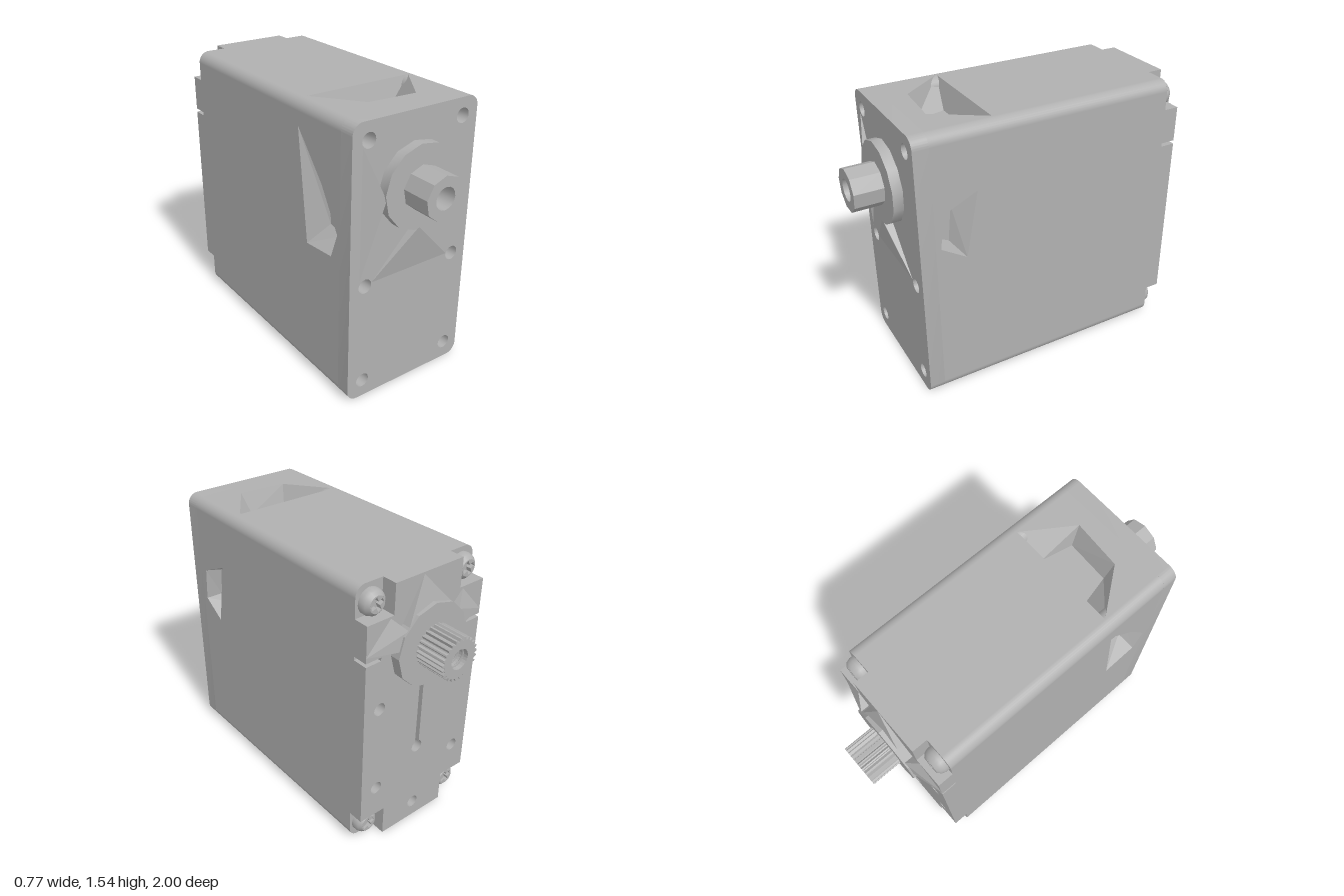
import * as THREE from 'three';
import { toCreasedNormals } from 'three/addons/utils/BufferGeometryUtils.js';
import { ConvexGeometry } from 'three/addons/geometries/ConvexGeometry.js';

const W = 0.385, H = 1.545, R = 0.06;      // half width, height, corner radius
const FRONT = 0.785, BACK = -0.775;        // outer faces
const Z0 = -0.69, Z1 = 0.7;                // ends of the main shell
const AXIS = 1.165;                        // height of the output shaft

const grey = new THREE.MeshStandardMaterial({ color: 0xb0b0b0, side: THREE.DoubleSide });
grey.name = 'grey plastic';

const v2 = (p) => new THREE.Vector2(p[0], p[1]);
const poly = (pts) => new THREE.Shape(pts.map(v2));
const circle = (x, y, r) => new THREE.Path().absarc(x, y, r, 0, Math.PI * 2, true);

function add(parent, name, geometry, x = 0, y = 0, z = 0) {
  const mesh = new THREE.Mesh(geometry, grey);
  mesh.name = name;
  mesh.position.set(x, y, z);
  parent.add(mesh);
  return mesh;
}

function extrude(shape, depth, curveSegments = 8) {
  const g = new THREE.ExtrudeGeometry(shape, { depth, curveSegments, bevelEnabled: false });
  return toCreasedNormals(g, 0.6);
}

function roundedRect() {
  const s = new THREE.Shape(), q = Math.PI / 2;
  s.absarc(W - R, R, R, -q, 0);
  s.absarc(W - R, H - R, R, 0, q);
  s.absarc(-W + R, H - R, R, q, 2 * q);
  s.absarc(-W + R, R, R, 2 * q, 3 * q);
  return s;
}

// Flat wall with a funnel-shaped pocket sunk into it
function pocketWall(name, rect, rim, floor, depth) {
  const group = new THREE.Group();
  group.name = name;
  const [u0, v0, u1, v1] = rect;
  const wall = poly([[u0, v0], [u1, v0], [u1, v1], [u0, v1]]);
  wall.holes.push(new THREE.Path(rim.map(v2)));
  add(group, name + 'Panel', new THREE.ShapeGeometry(wall));
  const pos = [];
  rim.forEach((a, i) => {
    const j = (i + 1) % rim.length, b = rim[j], c = floor[j], d = floor[i];
    pos.push(...a, 0, ...b, 0, ...c, -depth, ...a, 0, ...c, -depth, ...d, -depth);
  });
  const sides = new THREE.BufferGeometry();
  sides.setAttribute('position', new THREE.Float32BufferAttribute(pos, 3));
  sides.computeVertexNormals();
  add(group, name + 'PocketSides', sides);
  add(group, name + 'PocketFloor', new THREE.ShapeGeometry(poly(floor)), 0, 0, -depth);
  return group;
}

// Sloping web running from points on a face up to points on the boss rim
function web(parent, name, base, rim, face, top) {
  const at = (z) => (p) => new THREE.Vector3(p[0], p[1], z);
  add(parent, name, new ConvexGeometry([...base.map(at(face)), ...rim.map(at(face)), ...rim.map(at(top))]));
}

function buildShell() {
  const g = new THREE.Group();
  g.name = 'shell';
  const len = Z1 - Z0, mid = (Z0 + Z1) / 2;
  // rounded long edges
  for (const x of [-W + R, W - R]) for (const y of [R, H - R]) {
    add(g, 'roundedEdge', new THREE.CylinderGeometry(R, R, len, 32, 1, true), x, y, mid).rotation.x = Math.PI / 2;
  }
  // right and left walls
  const right = pocketWall('rightWall', [-Z1, R, -Z0, H - R],
    [[-0.67, 0.92], [-0.53, 0.83], [-0.46, 1.2], [-0.655, 1.11]],
    [[-0.65, 0.93], [-0.59, 0.9], [-0.57, 1.1], [-0.63, 1.1]], 0.09);
  right.position.x = W;
  right.rotation.y = Math.PI / 2;
  const left = pocketWall('leftWall', [Z0, R, Z1, H - R],
    [[0.35, 1.41], [0.42, 0.79], [0.63, 0.81], [0.68, 0.95], [0.55, 1.17]],
    [[0.48, 1.16], [0.49, 0.9], [0.6, 0.88], [0.63, 0.96], [0.55, 1.1]], 0.1);
  left.position.x = -W;
  left.rotation.y = -Math.PI / 2;
  // top wall
  const top = pocketWall('topWall', [-W + R, -Z1, W - R, -Z0],
    [[-0.325, -0.34], [-0.14, -0.585], [0.14, -0.605], [0.32, -0.34]],
    [[-0.16, -0.38], [-0.12, -0.55], [0.13, -0.56], [0.17, -0.38]], 0.14);
  top.position.y = H;
  top.rotation.x = -Math.PI / 2;
  g.add(right, left, top);
  // bottom wall and end caps
  add(g, 'bottomWall', new THREE.PlaneGeometry(2 * (W - R), len), 0, 0, mid).rotation.x = Math.PI / 2;
  add(g, 'frontCap', new THREE.ShapeGeometry(roundedRect()), 0, 0, Z1);
  add(g, 'backCap', new THREE.ShapeGeometry(roundedRect()), 0, 0, Z0).scale.z = -1;
  return g;
}

function buildFront() {
  const g = new THREE.Group();
  g.name = 'frontCover';
  const plate = roundedRect();
  for (const x of [-0.29, 0.29]) for (const y of [0.1, 0.68, 1.45]) plate.holes.push(circle(x, y, 0.04));
  add(g, 'frontPlate', extrude(plate, FRONT - Z1), 0, 0, Z1);
  // faceted boss and hollow pivot
  const ring = (n, r) => poly(Array.from({ length: n }, (_, i) => {
    const a = (i / n) * Math.PI * 2 + 0.2;
    return [r * Math.cos(a), r * Math.sin(a)];
  }));
  add(g, 'frontBoss', extrude(ring(13, 0.226), 0.055), 0, AXIS, FRONT);
  const pivot = ring(9, 0.118);
  pivot.holes.push(circle(0, 0, 0.06));
  add(g, 'frontPivot', extrude(pivot, 0.16), 0, AXIS, 0.84);
  web(g, 'lowerWeb', [[-0.25, 0.69], [0.25, 0.69]], [[0, 0.945]], FRONT, 0.835);
  web(g, 'sideWeb', [[-0.325, 1.42], [-0.325, 0.72]], [[-0.215, 1.15]], FRONT, 0.835);
  return g;
}

function buildBack() {
  const g = new THREE.Group();
  g.name = 'backCover';
  // plate with corner notches for the screws and a small groove on each side
  const side = [[0.22, 0], [0.22, 0.18], [W, 0.18], [W, 1.16], [0.29, 1.16], [0.29, 1.18],
    [W, 1.18], [W, 1.38], [0.22, 1.38], [0.22, H]];
  const plate = poly([...side, ...side.map(([x, y]) => [-x, y]).reverse()]);
  for (const x of [-0.285, 0.285]) for (const y of [0.365, 0.875]) plate.holes.push(circle(x, y, 0.036));
  plate.holes.push(circle(0, 0.1, 0.036));
  // keyhole slot under the shaft
  const slot = new THREE.Path();
  slot.moveTo(-0.014, 0.95);
  slot.lineTo(-0.014, 0.53);
  slot.absarc(0, 0.5, 0.036, Math.PI * 0.63, Math.PI * 2.37);
  slot.lineTo(0.014, 0.95);
  plate.holes.push(slot);
  add(g, 'backPlate', extrude(plate, Z0 - BACK), 0, 0, BACK);
  // faceted boss with its sloping webs
  const boss = new THREE.CylinderGeometry(0.228, 0.228, 0.055, 12).toNonIndexed();
  boss.computeVertexNormals();
  add(g, 'backBoss', boss, 0, AXIS, BACK - 0.0275).rotation.x = Math.PI / 2;
  web(g, 'upperWeb', [[0.04, 1.535]], [[-0.17, 1.3], [0.17, 1.3]], BACK, -0.825);
  for (const s of [-1, 1]) {
    web(g, 'sideWeb', [[s * W, 1.21], [s * 0.24, 1.37]], [[s * 0.2, 1.2], [s * 0.17, 1.3]], BACK, -0.825);
  }
  return g;
}

// Toothed output shaft with a screw hole
function buildShaft() {
  const teeth = 25, pts = [];
  for (let i = 0; i < teeth * 4; i++) {
    const a = (i / (teeth * 4)) * Math.PI * 2, r = i % 4 < 2 ? 0.116 : 0.102;
    pts.push([r * Math.cos(a), r * Math.sin(a)]);
  }
  const shape = poly(pts);
  shape.holes.push(circle(0, 0, 0.055));
  const geo = new THREE.ExtrudeGeometry(shape, { depth: 0.17, bevelEnabled: false });
  const g = new THREE.Group();
  g.name = 'outputShaft';
  add(g, 'spline', geo, 0, AXIS, -1);
  // thread rings inside the hole
  for (let i = 0; i < 4; i++) {
    add(g, 'thread', new THREE.TorusGeometry(0.053, 0.007, 4, 16), 0, AXIS, -0.97 + i * 0.03);
  }
  return g;
}

// Pan-head screw with a cross recess, facing backwards
function buildScrew(x, y) {
  const g = new THREE.Group();
  g.name = 'screw';
  const profile = [[0.07, 0], [0.07, 0.02], [0.063, 0.04], [0.046, 0.056]].map(v2);
  add(g, 'screwHead', new THREE.LatheGeometry(profile, 20)).rotation.x = Math.PI / 2;
  const top = new THREE.Shape().absarc(0, 0, 0.046, 0, Math.PI * 2);
  const a = 0.011, b = 0.037;
  top.holes.push(new THREE.Path([[a, a], [a, b], [-a, b], [-a, a], [-b, a], [-b, -a],
    [-a, -a], [-a, -b], [a, -b], [a, -a], [b, -a], [b, a]].map(v2)));
  add(g, 'crossRecess', extrude(top, 0.03), 0, 0, 0.026);
  add(g, 'recessFloor', new THREE.CircleGeometry(0.046, 16), 0, 0, 0.026);
  g.position.set(x, y, Z0);
  g.rotation.set(0, Math.PI, 0.4);
  return g;
}

export function createModel() {
  const model = new THREE.Group();
  model.name = 'servoMotor';
  model.add(buildShell(), buildFront(), buildBack(), buildShaft());
  for (const x of [-0.3, 0.3]) for (const y of [0.095, 1.45]) model.add(buildScrew(x, y));
  return model;
}
